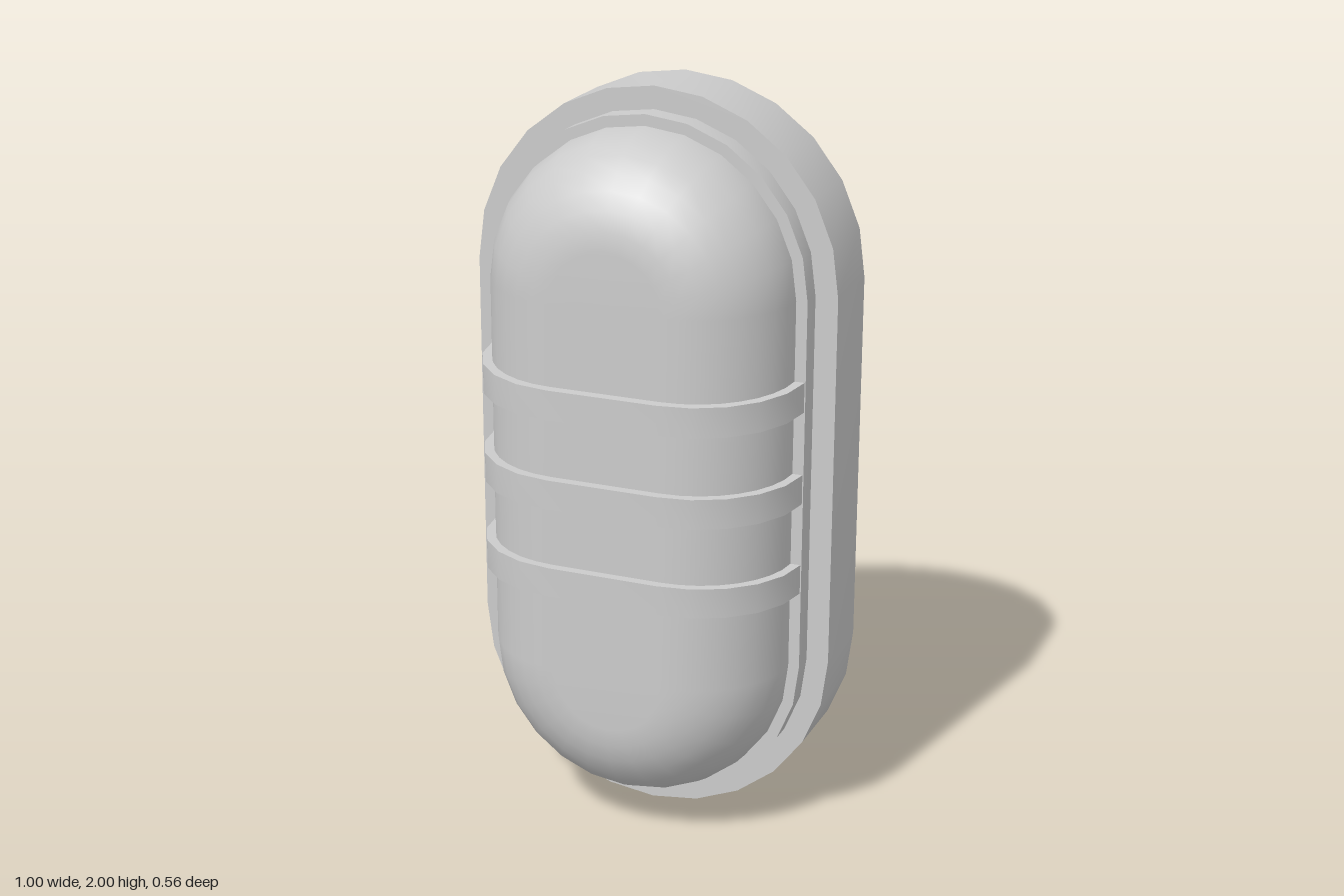
import * as THREE from 'three';
import { toCreasedNormals } from 'three/addons/utils/BufferGeometryUtils.js';

const HALF = 0.5;   // half length of the straight sides
const ARC = 12;     // segments per rounded end
const mat = new THREE.MeshStandardMaterial({ color: 0xcccccc });

// Upright stadium outline, counter-clockwise seen from the front
function stadium(r) {
  const pts = [];
  for (const end of [0, 1]) {
    for (let i = 0; i <= ARC; i++) {
      const a = Math.PI * (end + i / ARC);
      pts.push(new THREE.Vector2(r * Math.cos(a), (end ? -HALF : HALF) + r * Math.sin(a)));
    }
  }
  return pts;
}

function extrude(shape, depth) {
  return new THREE.ExtrudeGeometry(shape, { depth, bevelEnabled: false });
}

function addMesh(group, name, geometry) {
  const mesh = new THREE.Mesh(geometry, mat);
  mesh.name = name;
  group.add(mesh);
  return mesh;
}

function plate(r, z0, z1) {
  const geo = extrude(new THREE.Shape(stadium(r)), z1 - z0);
  geo.translate(0, 0, z0);
  return toCreasedNormals(geo, 0.5);
}

// Domed cover: stadium sections shrinking along a quarter circle, then a flat face
function domeGeometry() {
  const sections = [];
  const steps = 8;
  for (let j = 0; j <= steps; j++) {
    const a = (j / steps) * Math.PI / 2;
    sections.push([0.15 + 0.26 * Math.cos(a), -0.01 + 0.26 * Math.sin(a)]);
  }
  sections.push([0, 0.25]);
  const pos = [], idx = [];
  const n = 2 * (ARC + 1);
  sections.forEach(([r, z], j) => {
    for (const p of stadium(r)) pos.push(p.x, p.y, z);
    if (j === 0) return;
    for (let i = 0; i < n; i++) {
      const k = (i + 1) % n, lo = (j - 1) * n, hi = j * n;
      idx.push(lo + i, lo + k, hi + i, lo + k, hi + k, hi + i);
    }
  });
  const geo = new THREE.BufferGeometry();
  geo.setAttribute('position', new THREE.Float32BufferAttribute(pos, 3));
  geo.setIndex(idx);
  geo.computeVertexNormals();
  return geo;
}

// Half of a guard band's outline, from the side (x > 0) to the front
function bandArc(r) {
  const pts = [];
  for (let i = 0; i <= 5; i++) {
    const a = (i / 5) * Math.PI / 2;
    pts.push(new THREE.Vector2(0.15 + r * Math.cos(a), -0.01 + r * Math.sin(a)));
  }
  return pts;
}

// Guard band bent over the dome; lean shifts its ends up or down a little
function bandGeometry(y, lean) {
  const full = (r) => {
    const half = bandArc(r);
    return [...half, ...half.slice().reverse().map((p) => new THREE.Vector2(-p.x, p.y))];
  };
  const shape = new THREE.Shape([...full(0.287), ...full(0.255).reverse()]);
  const geo = extrude(shape, 0.08);
  geo.translate(0, 0, -0.04);
  // shape plane (x, y) becomes (x, z)
  geo.rotateX(Math.PI / 2);
  const p = geo.attributes.position;
  for (let i = 0; i < p.count; i++) {
    p.setY(i, p.getY(i) + y + lean * (0.25 - p.getZ(i)));
  }
  return toCreasedNormals(geo, 0.5);
}

export function createModel() {
  const model = new THREE.Group();
  model.name = 'bulkheadLamp';

  // Housing and the narrower collar in front of it
  addMesh(model, 'backHousing', plate(0.5, -0.28, -0.07));
  addMesh(model, 'collar', plate(0.44, -0.07, -0.01));

  addMesh(model, 'domeCover', domeGeometry());

  // Three guard bands across the dome
  const bands = new THREE.Group();
  bands.name = 'guardBands';
  for (const s of [-1, 0, 1]) {
    addMesh(bands, 'guardBand', bandGeometry(s * 0.243, s * 0.025));
  }
  model.add(bands);

  // Stand on the ground
  model.position.y = 1;
  return model;
}
